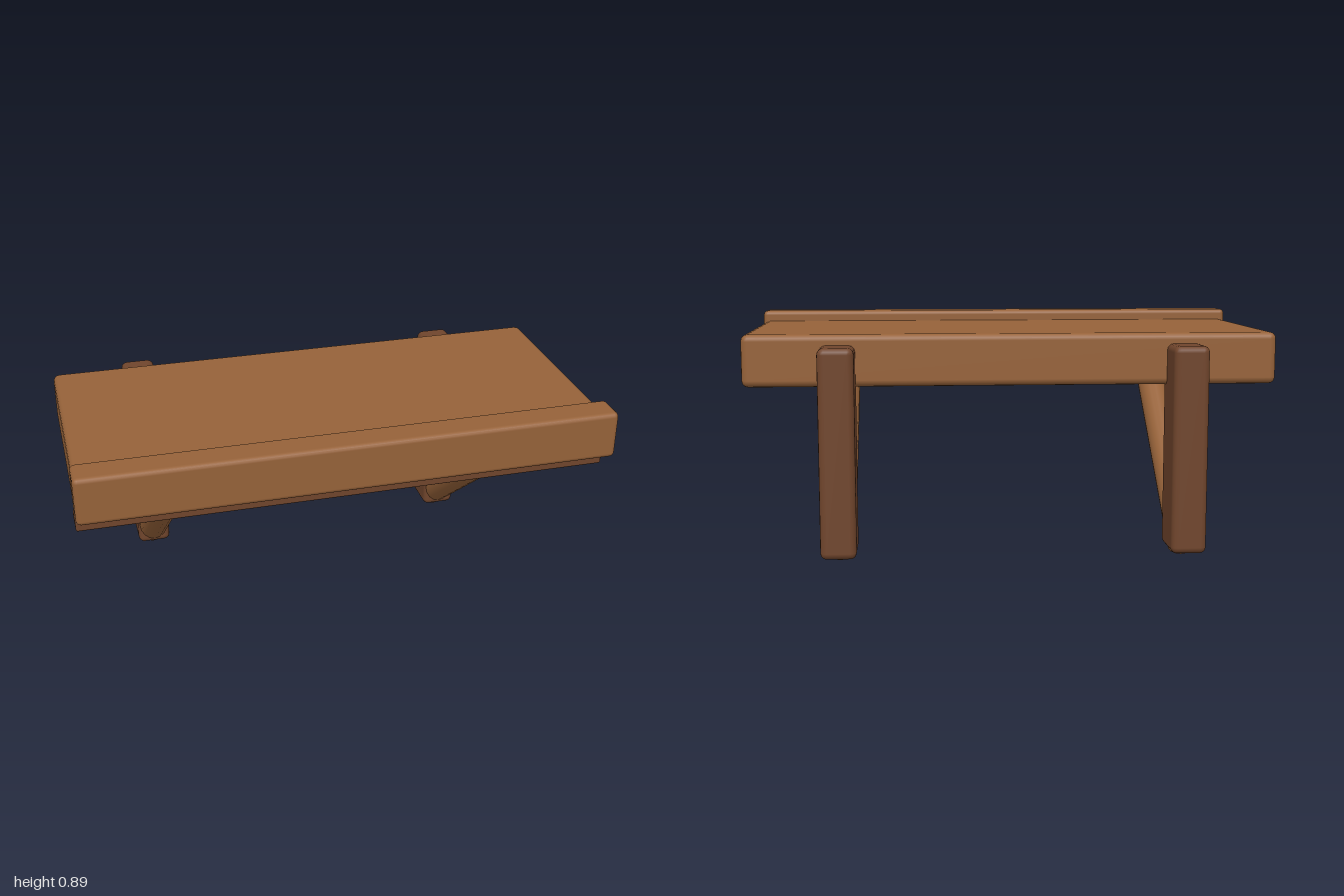
import * as THREE from 'three';
import { RoundedBoxGeometry } from 'three/addons/geometries/RoundedBoxGeometry.js';

export function createModel() {
  const group = new THREE.Group();
  group.name = 'wallShelf';

  const lightWood = new THREE.MeshStandardMaterial({ color: 0x966239 });
  lightWood.name = 'lightWood';
  const darkWood = new THREE.MeshStandardMaterial({ color: 0x70452c });
  darkWood.name = 'darkWood';

  // Softly bevelled plank given by its extents on each axis
  function plank(name, material, [x0, x1], [y0, y1], [z0, z1], bevel) {
    const geometry = new RoundedBoxGeometry(x1 - x0, y1 - y0, z1 - z0, 2, bevel);
    const mesh = new THREE.Mesh(geometry, material);
    mesh.position.set((x0 + x1) / 2, (y0 + y1) / 2, (z0 + z1) / 2);
    mesh.name = name;
    group.add(mesh);
  }

  // Round strut running between two points
  function strut(name, material, from, to, radius) {
    const axis = to.clone().sub(from);
    const mesh = new THREE.Mesh(new THREE.CylinderGeometry(radius, radius, axis.length(), 16), material);
    mesh.position.copy(from).add(to).multiplyScalar(0.5);
    mesh.quaternion.setFromUnitVectors(new THREE.Vector3(0, 1, 0), axis.normalize());
    mesh.name = name;
    group.add(mesh);
  }

  // Shelf board, raised front lip and the trim under the front edge
  plank('shelfBoard', lightWood, [-0.995, 0.995], [0.652, 0.846], [-0.412, 0.456], 0.025);
  plank('frontLip', lightWood, [-1, 1], [0.705, 0.889], [0.43, 0.555], 0.018);
  plank('undersideTrim', darkWood, [-1, 1], [0.624, 0.664], [0.348, 0.452], 0.008);

  // Wall posts with diagonal braces, mirrored left and right
  for (const [side, s] of [['left', 1], ['right', -1]]) {
    const x = 0.645 * s;
    plank(side + 'Post', darkWood, [x - 0.066, x + 0.066], [0.035, 0.806], [-0.555, -0.346], 0.024);
    strut(side + 'Brace', lightWood,
      new THREE.Vector3(x, 0.048, -0.447), new THREE.Vector3(x, 0.714, 0.38), 0.059);
  }

  return group;
}
